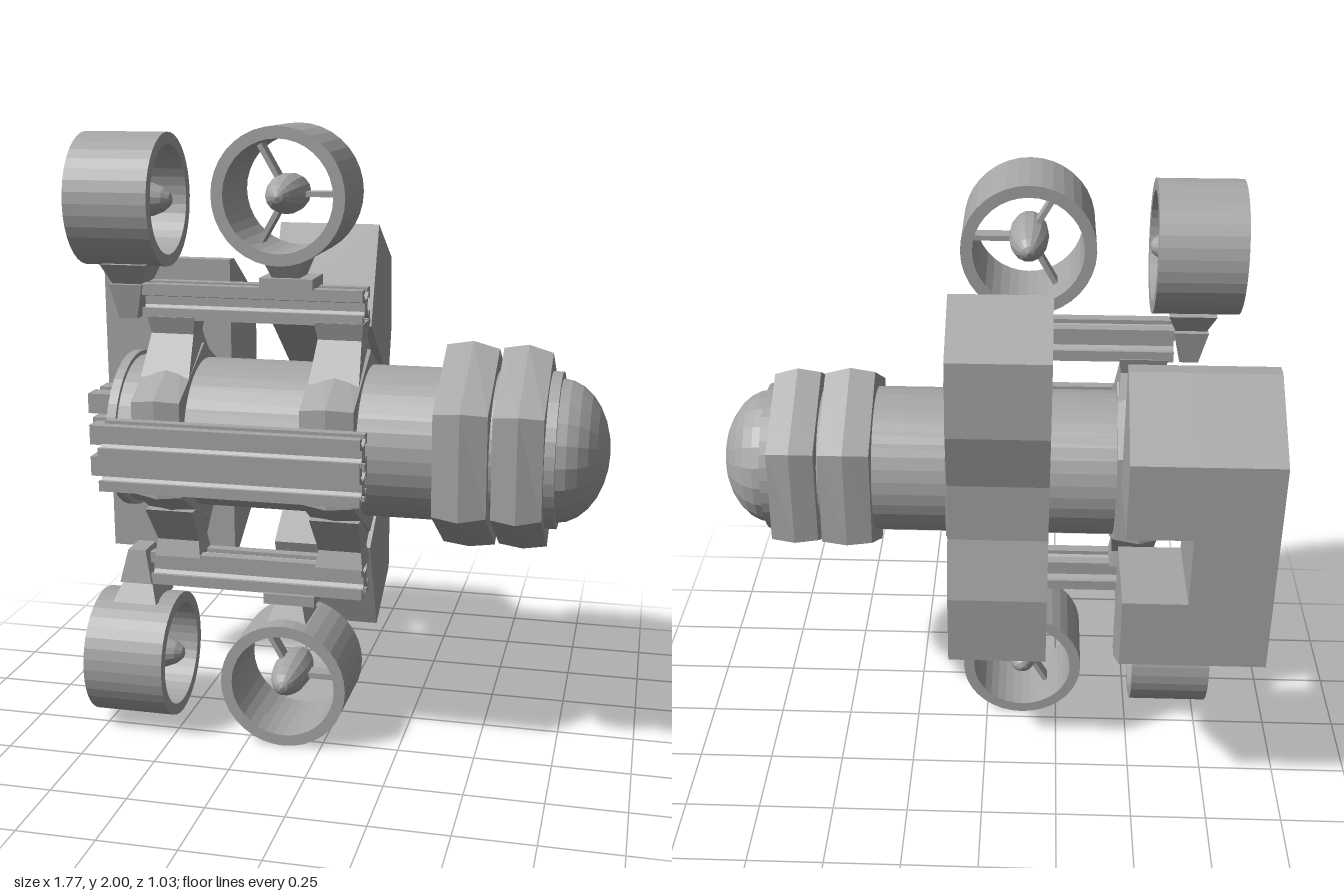
import * as THREE from 'three';

const grey = new THREE.MeshStandardMaterial({ color: 0xa6a6a6 });
grey.name = 'grey';
grey.flatShading = true;

const MID = 1.0;                    // height of the horizontal mirror plane
const HULL_Y = 1.01, HULL_Z = 0.12; // hull axis

export function createModel() {
  const root = new THREE.Group();
  root.name = 'underwaterVehicle';

  const add = (name, geo, x = 0, y = 0, z = 0, parent = root) => {
    const m = new THREE.Mesh(geo, grey);
    m.name = name;
    m.position.set(x, y, z);
    parent.add(m);
    return m;
  };
  const box = (name, w, h, d, x, y, z) => add(name, new THREE.BoxGeometry(w, h, d), x, y, z);

  // cylinder along x between x0 and x1
  const tubeX = (name, r, x0, x1, sides, y = HULL_Y, z = HULL_Z) =>
    add(name, new THREE.CylinderGeometry(r, r, x1 - x0, sides, 1, false, Math.PI / 2)
      .rotateZ(-Math.PI / 2), (x0 + x1) / 2, y, z);

  // outline given as [z, y] pairs, extruded along x
  const extrudeX = (name, pts, x0, x1, y = 0, z = 0) => {
    const shape = new THREE.Shape(pts.map(([pz, py]) => new THREE.Vector2(-pz, py)));
    const g = new THREE.ExtrudeGeometry(shape, { depth: x1 - x0, bevelEnabled: false });
    return add(name, g.rotateY(Math.PI / 2), x0, y, z);
  };

  // hull, end flanges and dome
  tubeX('hull', 0.242, -0.65, 0.72, 36);
  tubeX('rearFlange', 0.256, -0.672, -0.642, 36);
  tubeX('rearCap', 0.2, -0.69, -0.66, 36);
  tubeX('domeFlange', 0.246, 0.7, 0.732, 36);
  const dome = new THREE.SphereGeometry(0.226, 20, 7, 0, Math.PI * 2, 0, Math.PI / 2);
  add('dome', dome.scale(1, 0.158 / 0.226, 1).rotateZ(-Math.PI / 2), 0.727, HULL_Y, HULL_Z);

  // cable connectors on the rear cap
  for (let i = -1; i <= 1; i++) for (let j = -1; j <= 1; j++) {
    const len = i || j ? 0.1 : 0.13;
    box('connector', len, 0.065, 0.065, -0.675 - len / 2, 1.01 + i * 0.105, HULL_Z + j * 0.105);
  }

  // hexagonal clamps with an uneven, faceted band
  const clamp = (name, r, x0, x1, z) => {
    const g = new THREE.CylinderGeometry(r, r, x1 - x0, 6, 2, false, Math.PI / 2);
    const p = g.attributes.position;
    for (let i = 0; i < p.count; i++) {
      const a = Math.round(Math.atan2(p.getX(i), p.getZ(i)) * 3 / Math.PI + 6) % 6;
      const k = Math.abs(p.getY(i)) < 0.01 ? 1 : 0.95 + 0.02 * Math.sin(a * 2.3 + p.getY(i) * 30);
      p.setX(i, p.getX(i) * k);
      p.setZ(i, p.getZ(i) * k);
    }
    add(name, g.rotateZ(-Math.PI / 2), (x0 + x1) / 2, HULL_Y, z);
  };
  clamp('frontClamp', 0.335, 0.37, 0.535, HULL_Z);
  clamp('frontClamp', 0.33, 0.548, 0.7, HULL_Z);
  const clampX = [[-0.58, -0.42], [-0.04, 0.13]];
  clampX.forEach(([a, b]) => clamp('frameClamp', 0.315, a, b, 0.13));

  // slotted rail profile, one quarter repeated four times
  const railOutline = (s) => {
    const quarter = [[0.05, -0.018], [0.038, -0.018], [0.038, -0.034], [0.02, -0.012],
      [0.02, 0.012], [0.038, 0.034], [0.038, 0.018], [0.05, 0.018], [0.05, 0.05]];
    const pts = [];
    for (let q = 0; q < 4; q++) {
      const c = [1, 0, -1, 0][q], n = [0, 1, 0, -1][q];
      quarter.forEach(([a, b]) => pts.push([-(a * c - b * n) * s, (a * n + b * c) * s]));
    }
    return pts;
  };

  // twin rail on the front of the hull
  for (const s of [-1, 1])
    extrudeX('frontRail', railOutline(1.04), -0.645, 0.175, 1.005 + s * 0.052, 0.46);
  clampX.forEach(([a, b]) => box('frontRailMount', b - a, 0.14, 0.06, (a + b) / 2, 1.005, 0.39));

  // ducted thruster, axis along its own y before turning
  const thruster = (name, x, y, z, alongX) => {
    const g = new THREE.Group();
    g.name = name;
    const ring = [[0.172, -0.135], [0.209, -0.135], [0.209, 0.135], [0.172, 0.135], [0.172, -0.135]];
    add('duct', new THREE.LatheGeometry(ring.map((p) => new THREE.Vector2(...p)), 36), 0, 0, 0, g);
    add('hub', new THREE.SphereGeometry(0.063, 14, 10).scale(1, 2.35, 1), 0, 0, 0, g);
    for (let i = 0; i < 3; i++) {
      const spoke = new THREE.BoxGeometry(0.14, 0.05, 0.016).translate(0.115, 0, 0);
      add('strut', spoke.rotateY(i * Math.PI * 2 / 3), 0, 0, 0, g);
    }
    if (alongX) g.rotation.z = -Math.PI / 2;
    else g.rotation.x = Math.PI / 2;
    g.position.set(x, y, z);
    root.add(g);
  };

  // tapered block: half widths at the inner and outer end, along y on side s
  const taper = (name, x, z, s, y0, y1, w0, w1, d0, d1) => {
    const g = new THREE.BoxGeometry(2, y1 - y0, 2);
    const p = g.attributes.position;
    for (let i = 0; i < p.count; i++) {
      const outer = p.getY(i) * s > 0;
      p.setX(i, p.getX(i) * (outer ? w1 : w0));
      p.setZ(i, p.getZ(i) * (outer ? d1 : d0));
    }
    add(name, g, x, MID + s * (y0 + y1) / 2, z);
  };

  // upper and lower frame: posts, rail, brackets and thrusters
  for (const s of [-1, 1]) {
    const dz = 0.16;
    extrudeX('sideRail', railOutline(1.12), -0.595, 0.12, MID + s * 0.447, dz);
    clampX.forEach(([a, b]) => {
      taper('railPost', (a + b) / 2, dz, s, 0.22, 0.345, 0.08, 0.07, 0.13, 0.045);
      taper('railFoot', (a + b) / 2, dz, s, 0.345, 0.4, 0.07, 0.078, 0.045, 0.06);
    });
    taper('thrusterBracket', -0.12, dz, s, 0.5, 0.535, 0.085, 0.085, 0.07, 0.07);
    taper('thrusterNeck', -0.125, dz, s, 0.535, 0.61, 0.045, 0.07, 0.05, 0.09);
    taper('thrusterBracket', -0.645, dz, s, 0.39, 0.5, 0.03, 0.055, 0.05, 0.07);
    taper('thrusterNeck', -0.645, dz, s, 0.5, 0.565, 0.05, 0.075, 0.05, 0.09);
    thruster('verticalFaceThruster', -0.125, MID + s * 0.791, 0.165, false);
    thruster('forwardThruster', -0.65, MID + s * 0.764, 0.163, true);
  }

  // angled three-panel float behind the hull
  const half = [[0.08, 0.37], [-0.04, 0.68], [-0.255, 0.55], [-0.265, 0.3], [-0.21, 0.1]];
  const inner = [[-0.165, 0.18], [0.08, 0.37]];
  extrudeX('angledFloat', [
    ...half.map(([z, y]) => [z, MID + y]),
    ...half.slice().reverse().map(([z, y]) => [z, MID - y]),
    [inner[0][0], MID - inner[0][1]], [inner[0][0], MID + inner[0][1]],
  ].reverse(), -0.205, 0.12);

  // rear float with a notch cut into one side
  const top = [[-0.2, 1.53], [-0.25, 1.53], [-0.515, 1.36]];
  const low = [[-0.515, 0.65], [-0.25, 0.48], [-0.2, 0.48]];
  extrudeX('rearFloat', [...top, ...low], -0.885, -0.63);
  extrudeX('rearFloatUpperArm', [...top, [-0.515, 1.11], [-0.2, 1.11]], -0.63, -0.43);
  extrudeX('rearFloatLowerArm', [[-0.2, 0.88], [-0.515, 0.88], ...low], -0.63, -0.43);

  return root;
}
